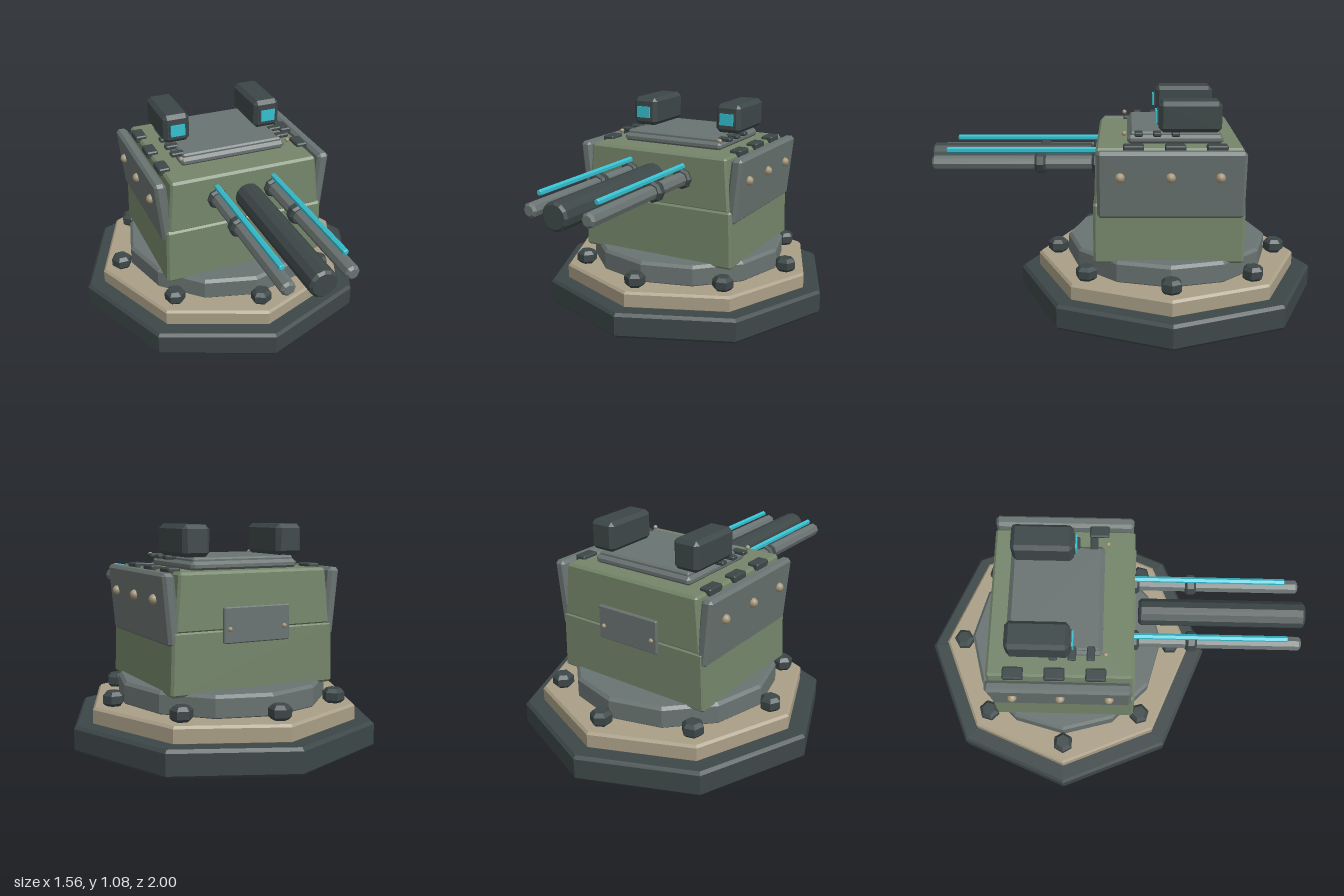
import * as THREE from 'three';
import { ConvexGeometry } from 'three/addons/geometries/ConvexGeometry.js';

const mat = (name, color) => {
  const m = new THREE.MeshStandardMaterial({ color });
  m.name = name;
  return m;
};

// Box with every edge chamfered; warp(v) may reshape its corner points
function chamferBox(w, h, d, c, warp) {
  const pts = [];
  for (const sx of [-1, 1]) for (const sy of [-1, 1]) for (const sz of [-1, 1]) {
    for (let k = 0; k < 3; k++) {
      const i = [c, c, c];
      i[k] = 0;
      const v = new THREE.Vector3(sx * (w / 2 - i[0]), sy * (h / 2 - i[1]), sz * (d / 2 - i[2]));
      if (warp) warp(v);
      pts.push(v);
    }
  }
  return new ConvexGeometry(pts);
}

// Flat-sided prism with chamfered rims, standing from y0 to y1
function prism(r, y0, y1, sides, c) {
  const profile = [[0, y0], [r - c, y0], [r, y0 + c], [r, y1 - c], [r - c, y1], [0, y1]]
    .map(([x, y]) => new THREE.Vector2(x, y));
  const g = new THREE.LatheGeometry(profile, sides).toNonIndexed();
  g.computeVertexNormals();
  return g;
}

export function createModel() {
  const dark = mat('dark steel', 0x3d4748);
  const grey = mat('grey armour', 0x697371);
  const green = mat('green armour', 0x74856a);
  const tan = mat('tan ring', 0xaa9f87);
  const brass = mat('brass rivet', 0xa5967a);
  const cyan = mat('cyan glow', 0x35bfd0);

  const model = new THREE.Group();
  model.name = 'turret';
  const add = (name, geo, material, x = 0, y = 0, z = 0) => {
    const m = new THREE.Mesh(geo, material);
    m.name = name;
    m.position.set(x, y, z);
    model.add(m);
    return m;
  };
  const CZ = -0.22;

  // Stepped base
  add('basePlate', prism(0.78, 0, 0.13, 8, 0.015), dark, 0, 0, CZ);
  add('baseRing', prism(0.685, 0.12, 0.21, 8, 0.012), tan, 0, 0, CZ);
  add('turntable', prism(0.525, 0.2, 0.318, 12, 0.015), grey, 0, 0, CZ);

  // Hex bolts around the base
  const bolt = prism(0.054, 0.207, 0.28, 6, 0.018);
  for (let i = 0; i < 8; i++) {
    const a = i * Math.PI / 4;
    add('baseBolt', bolt, dark, Math.sin(a) * 0.58, 0, CZ + Math.cos(a) * 0.58).rotation.y = a;
  }

  // Hull: lower block and tapered upper block
  add('lowerHull', chamferBox(0.87, 0.3, 0.735, 0.012, v => {
    if (v.y > 0) v.x *= 0.98;
  }), green, 0, 0.45, -0.2125);
  add('upperHull', chamferBox(0.83, 0.275, 0.728, 0.012, v => {
    if (v.y > 0) { v.x *= 0.94; v.z *= 0.98; }
  }), green, 0, 0.7275, -0.215);

  // Leaning side armour, rivets and top cleats
  const rivet = new THREE.SphereGeometry(0.024, 10, 8);
  const smallRivet = new THREE.SphereGeometry(0.012, 8, 6);
  const cleat = chamferBox(0.06, 0.035, 0.1, 0.006);
  for (const s of [-1, 1]) {
    add('sideArmour', chamferBox(0.06, 0.335, 0.71, 0.015, v => {
      v.x += s * v.y * 0.1;
    }), grey, s * 0.426, 0.697, -0.22);
    for (const z of [0.025, -0.215, -0.45]) add('sideRivet', rivet, brass, s * 0.463, 0.74, z);
    for (const z of [-0.44, -0.24, -0.04]) add('roofCleat', cleat, dark, s * 0.378, 0.864, z);
  }

  // Roof hatch in two layers
  add('hatchBase', chamferBox(0.57, 0.045, 0.47, 0.015), grey, 0, 0.883, -0.245);
  add('hatchLid', chamferBox(0.54, 0.03, 0.44, 0.008), grey, 0, 0.907, -0.245);

  // Sights, clips and roof rivets
  const sight = chamferBox(0.14, 0.15, 0.305, 0.02);
  const clip = chamferBox(0.07, 0.02, 0.04, 0.005);
  for (const s of [-1, 1]) {
    add('sightHousing', sight, dark, s * 0.25, 1.0, -0.315);
    add('lensFrame', new THREE.BoxGeometry(0.086, 0.07, 0.01), dark, s * 0.25, 0.998, -0.16);
    add('sightLens', new THREE.BoxGeometry(0.076, 0.06, 0.009), cyan, s * 0.25, 0.998, -0.151);
    for (const z of [-0.065, -0.155, -0.245]) add('hatchClip', clip, dark, s * 0.288, 0.916, z);
    add('roofRivet', smallRivet, brass, s * 0.29, 0.918, 0.005);
  }

  // Rear access panel
  add('rearPanel', chamferBox(0.35, 0.17, 0.03, 0.005), grey, 0, 0.617, -0.577);
  for (const s of [-1, 1]) add('panelRivet', smallRivet, brass, s * 0.145, 0.6, -0.592);

  // Main gun with a twin auxiliary gun on each side
  const along = g => g.rotateX(Math.PI / 2);
  const mainGun = along(prism(0.068, 0.165, 1.0, 12, 0.012));
  const sideGun = along(prism(0.036, 0.1, 0.975, 8, 0.012));
  const collar = along(prism(0.054, -0.028, 0.028, 8, 0.012));
  const strip = along(prism(0.015, 0.11, 0.9, 6, 0.004));
  add('mainBarrel', mainGun, dark, 0, 0.74, 0);
  for (const s of [-1, 1]) {
    add('sideBarrel', sideGun, grey, s * 0.153, 0.74, 0);
    add('glowStrip', strip, cyan, s * 0.153, 0.803, 0);
    for (const z of [0.14, 0.428]) add('barrelCollar', collar, dark, s * 0.153, 0.74, z);
  }
  return model;
}
